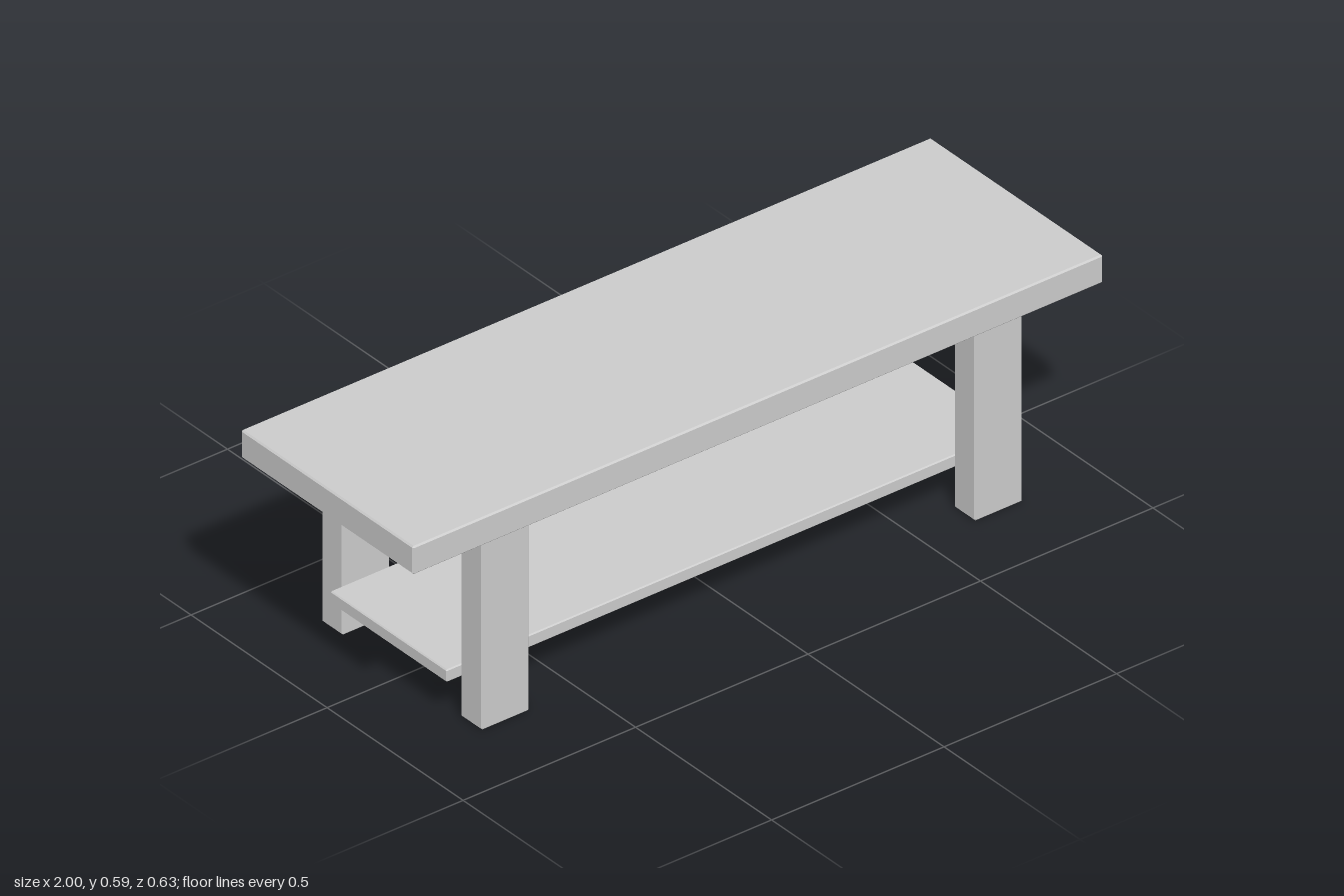
import * as THREE from 'three';
import { ConvexGeometry } from 'three/addons/geometries/ConvexGeometry.js';

const material = new THREE.MeshStandardMaterial({ color: 0xcccccc, flatShading: true });

// Box with small flat chamfers: each corner is cut into three points.
function chamferedBox(name, width, height, depth, chamfer = 0.004) {
  const points = [];
  for (const sx of [-1, 1]) for (const sy of [-1, 1]) for (const sz of [-1, 1]) {
    for (let axis = 0; axis < 3; axis++) {
      const half = [width / 2, height / 2, depth / 2]
        .map((size, i) => (i === axis ? size : size - chamfer));
      points.push(new THREE.Vector3(sx * half[0], sy * half[1], sz * half[2]));
    }
  }
  const mesh = new THREE.Mesh(new ConvexGeometry(points), material);
  mesh.name = name;
  return mesh;
}

export function createModel() {
  const table = new THREE.Group();
  table.name = 'coffeeTable';

  // Thick overhanging top
  const top = chamferedBox('tableTop', 2, 0.076, 0.634);
  top.position.y = 0.554;
  table.add(top);

  // Thin lower shelf between the front and back legs
  const shelf = chamferedBox('lowerShelf', 1.644, 0.034, 0.428, 0.003);
  shelf.position.y = 0.121;
  table.add(shelf);

  // Four legs, wider than they are deep
  for (const [side, x] of [['Left', 1], ['Right', -1]]) {
    for (const [end, z] of [['front', 1], ['back', -1]]) {
      const leg = chamferedBox(`${end}${side}Leg`, 0.138, 0.517, 0.079);
      leg.position.set(x * 0.715, 0.2585, z * 0.256);
      table.add(leg);
    }
  }

  return table;
}
